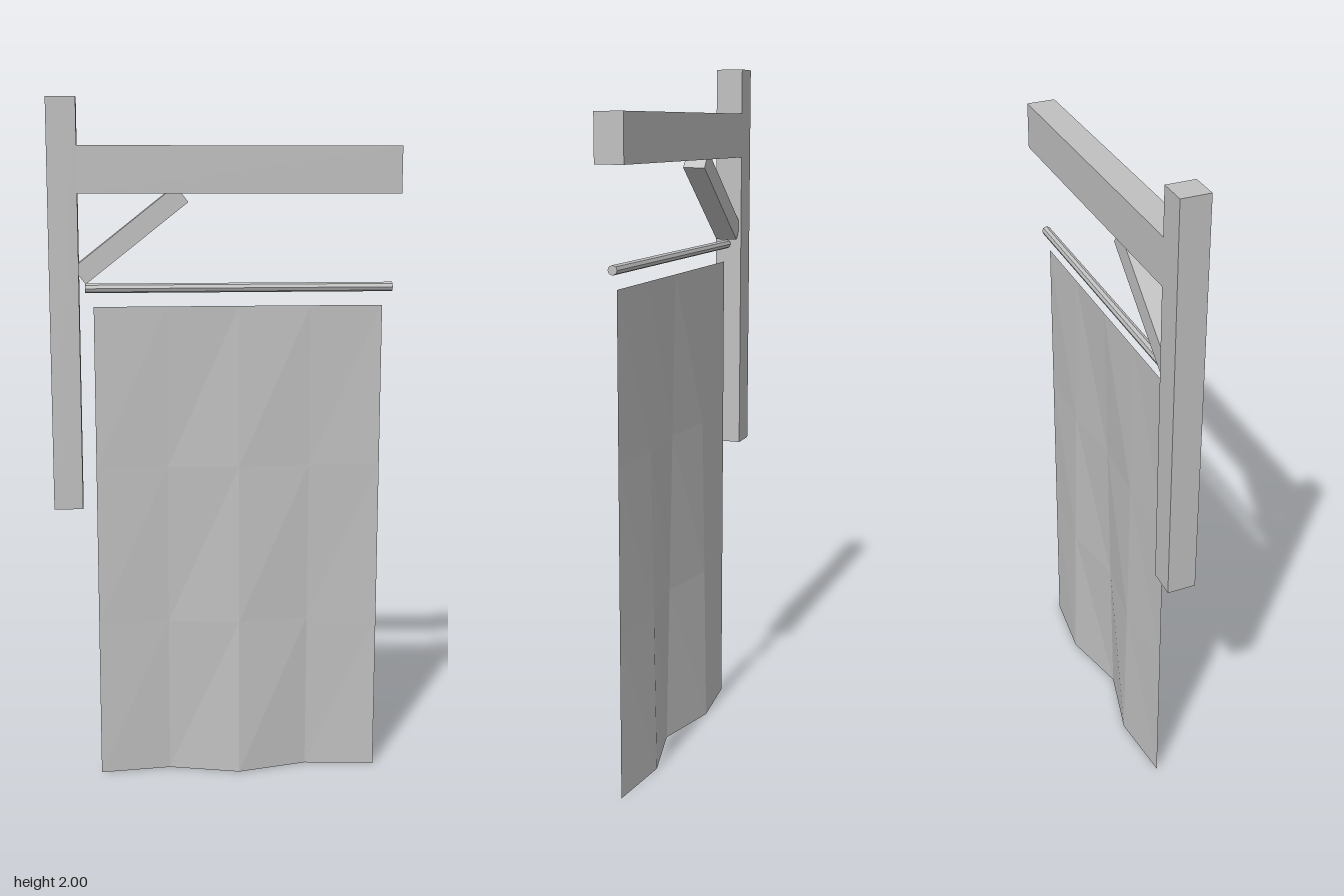
import * as THREE from 'three';

export function createModel() {
  const group = new THREE.Group();
  const grey = new THREE.MeshStandardMaterial({ color: 0xc0c0c0, flatShading: true });
  grey.name = 'grey';
  const clothGrey = grey.clone();
  clothGrey.side = THREE.DoubleSide;

  const add = (name, geometry, x, y, angle = 0, material = grey) => {
    const mesh = new THREE.Mesh(geometry, material);
    mesh.name = name;
    mesh.position.set(x, y, 0);
    mesh.rotation.z = angle;
    group.add(mesh);
    return mesh;
  };

  // Wooden bracket: post, beam and slanted brace
  add('post', new THREE.BoxGeometry(0.083, 1.165, 0.082), -0.4585, 1.4175);
  add('beam', new THREE.BoxGeometry(0.917, 0.132, 0.082), 0.0415, 1.802);
  add('brace', new THREE.BoxGeometry(0.37, 0.058, 0.066), -0.27, 1.621, 0.665);

  // Thin hanging rod
  add('rod', new THREE.CylinderGeometry(0.0135, 0.0135, 0.885, 8), 0.042, 1.47, Math.PI / 2);

  // Banner cloth: folds deepen towards the lower edge
  const width = 0.834, height = 1.417;
  const cloth = new THREE.PlaneGeometry(width, height, 4, 3);
  const folds = [0, -0.022, 0.03, -0.022, 0];
  const pos = cloth.attributes.position;
  for (let i = 0; i < pos.count; i++) {
    const drop = 0.5 - pos.getY(i) / height;
    pos.setZ(i, folds[i % 5] * drop);
  }
  cloth.computeVertexNormals();
  add('banner', cloth, 0.04, height / 2, 0, clothGrey);

  return group;
}
